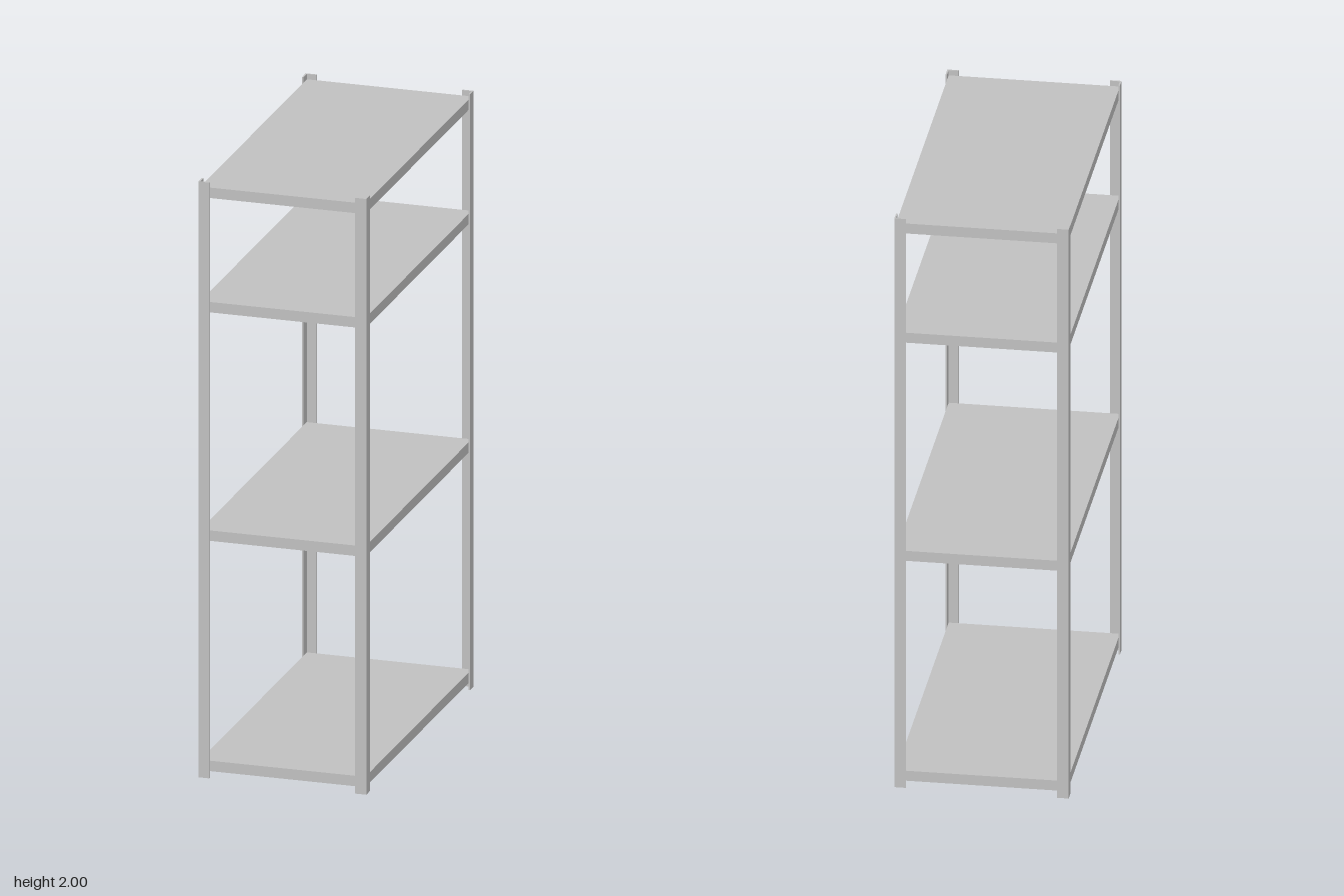
import * as THREE from 'three';

const W = 0.56, D = 1.115, H = 2;      // overall size
const LEG = 0.037, T = 0.005;          // angle-post flange width and sheet thickness
const RIM = 0.035;                     // shelf edge height
const SHELF_TOPS = [0.058, 0.831, 1.598, 1.982];

export function createModel() {
  const steel = new THREE.MeshStandardMaterial({ color: 0xc0c0c0 });
  steel.name = 'grey steel';
  const model = new THREE.Group();
  model.name = 'shelvingRack';

  // L-section post, outer corner at the origin, flanges along +x and +y of the shape
  const section = new THREE.Shape([
    [0, 0], [LEG, 0], [LEG, T], [T, T], [T, LEG], [0, LEG],
  ].map(([x, y]) => new THREE.Vector2(x, y)));
  const postGeometry = new THREE.ExtrudeGeometry(section, { depth: H, bevelEnabled: false });
  postGeometry.rotateX(-Math.PI / 2); // upright; flanges now run along +x and -z

  // Four posts, each a quarter turn from the last
  const corners = [
    ['frontRightPost', -1, 1], ['frontLeftPost', 1, 1],
    ['backLeftPost', 1, -1], ['backRightPost', -1, -1],
  ];
  corners.forEach(([name, sx, sz], i) => {
    const post = new THREE.Mesh(postGeometry, steel);
    post.name = name;
    post.position.set(sx * W / 2, 0, sz * D / 2);
    post.rotation.y = i * Math.PI / 2;
    model.add(post);
  });

  // Open-bottomed tray shelves fitted inside the posts
  const w = W - 2 * T, d = D - 2 * T;
  const addBox = (parent, name, size, position) => {
    const mesh = new THREE.Mesh(new THREE.BoxGeometry(...size), steel);
    mesh.name = name;
    mesh.position.set(...position);
    parent.add(mesh);
  };
  SHELF_TOPS.forEach((top, i) => {
    const shelf = new THREE.Group();
    shelf.name = `shelf${i + 1}`;
    shelf.position.y = top;
    addBox(shelf, 'panel', [w, T, d], [0, -T / 2, 0]);
    const h = RIM - T, y = -T - h / 2;
    for (const s of [-1, 1]) {
      addBox(shelf, s > 0 ? 'leftRim' : 'rightRim', [T, h, d], [s * (w - T) / 2, y, 0]);
      addBox(shelf, s > 0 ? 'frontRim' : 'backRim', [w - 2 * T, h, T], [0, y, s * (d - T) / 2]);
    }
    model.add(shelf);
  });

  return model;
}
